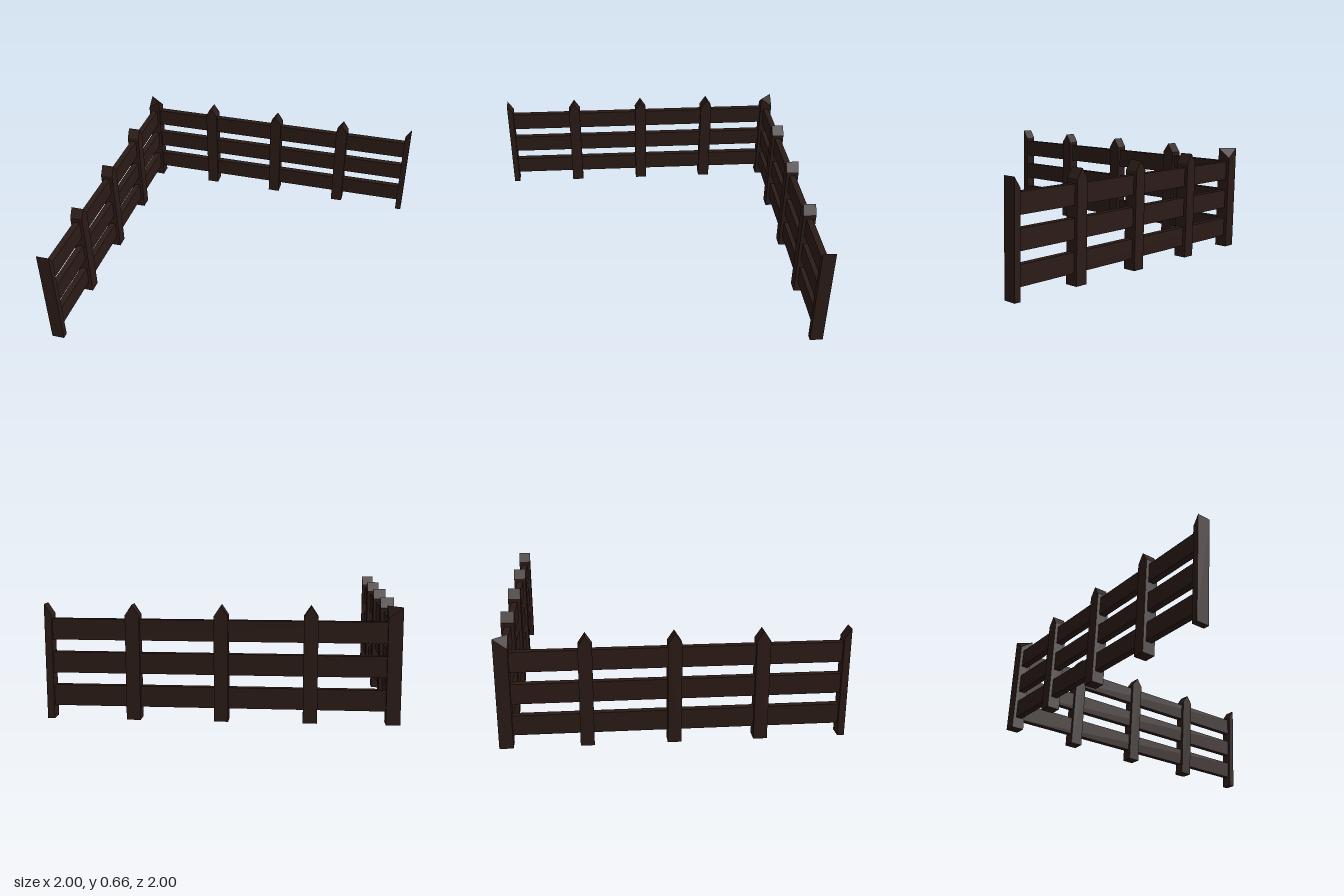
import * as THREE from 'three';

const WIDTH = 0.08, PEAK = 0.66, EAVE = 0.6, LINE = -0.96;
const wood = new THREE.MeshStandardMaterial({ color: 0x2b1b16, flatShading: true });

function addMesh(parent, name, geometry, x, y, z) {
  const mesh = new THREE.Mesh(geometry, wood);
  mesh.name = name;
  mesh.position.set(x, y, z);
  parent.add(mesh);
}

// Extrudes a post outline through the post's depth
function postGeometry(points) {
  const shape = new THREE.Shape(points.map(([x, y]) => new THREE.Vector2(x, y)));
  return new THREE.ExtrudeGeometry(shape, { depth: WIDTH, bevelEnabled: false })
    .translate(0, 0, -WIDTH / 2);
}

// Corner post: both gables meet in a mitre, so the ridge runs diagonally
function cornerGeometry() {
  const geometry = new THREE.BoxGeometry(WIDTH, PEAK, WIDTH)
    .rotateY(Math.PI / 2).translate(0, PEAK / 2, 0).toNonIndexed();
  const p = geometry.attributes.position;
  for (let i = 0; i < p.count; i++) {
    if (p.getY(i) > 0.1 && p.getX(i) * p.getZ(i) < 0) p.setY(i, EAVE);
  }
  geometry.computeVertexNormals();
  return geometry;
}

// One straight run along x; its free end is on the side given by dir
function fenceRun(name, dir) {
  const run = new THREE.Group();
  run.name = name;
  const h = WIDTH / 2;

  // Full posts with a gabled top
  const full = postGeometry([[-h, 0], [h, 0], [h, EAVE], [0, PEAK], [-h, EAVE]]);
  for (const x of [-0.5, 0, 0.5]) addMesh(run, 'post', full, x, 0, LINE);

  // Half post cut through its peak at the free end
  const half = postGeometry([[0, 0], [0, PEAK], [-dir * h, EAVE], [-dir * h, 0]]);
  addMesh(run, 'endPost', half, dir, 0, LINE);

  // Three rails from the corner post to the end post
  const rail = new THREE.BoxGeometry(1.95, 0.12, 0.04);
  for (const y of [0.133, 0.324, 0.515]) addMesh(run, 'rail', rail, dir * 0.02, y, LINE);
  return run;
}

export function createModel() {
  const fence = new THREE.Group();
  fence.name = 'cornerFence';
  const side = fenceRun('sideRun', -1);
  side.rotation.y = Math.PI / 2;
  fence.add(fenceRun('backRun', 1), side);
  addMesh(fence, 'cornerPost', cornerGeometry(), LINE, 0, LINE);
  return fence;
}
